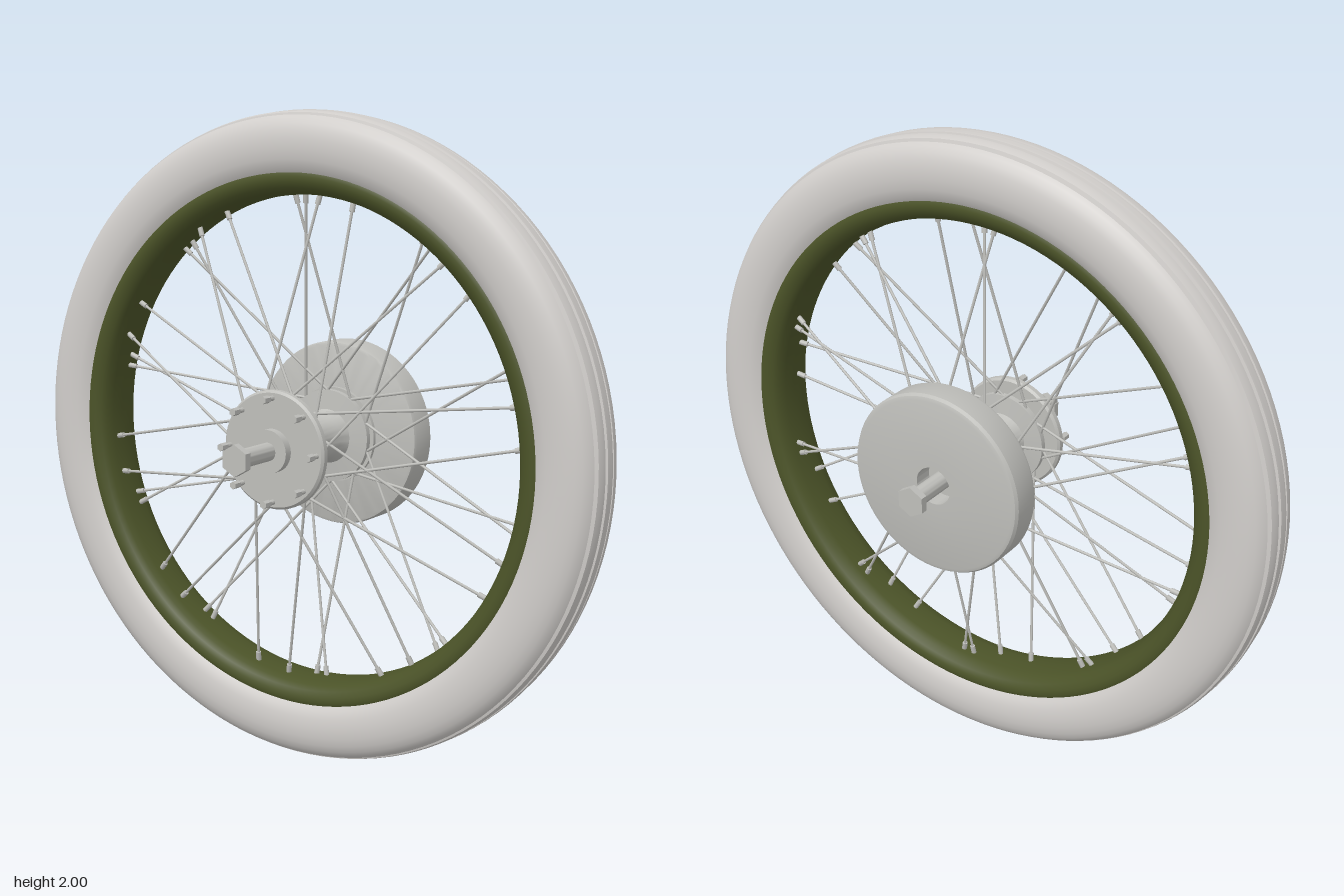
import * as THREE from 'three';
import { toCreasedNormals } from 'three/addons/utils/BufferGeometryUtils.js';

const mat = (name, color, side = THREE.FrontSide) => {
  const m = new THREE.MeshStandardMaterial({ color, side });
  m.name = name;
  return m;
};

// Solid of revolution around the z axis; points are [radius, z], outer side running towards +z
function turned(name, points, material, segments = 64, crease = 0.5) {
  const lathe = new THREE.LatheGeometry(points.map(([r, z]) => new THREE.Vector2(r, z)), segments);
  lathe.rotateX(Math.PI / 2);
  const mesh = new THREE.Mesh(toCreasedNormals(lathe, crease), material);
  mesh.name = name;
  return mesh;
}

// Cylinder along z between two depths
function barZ(name, radius, z0, z1, material, sides = 24, x = 0, y = 0) {
  const geo = new THREE.CylinderGeometry(radius, radius, z1 - z0, sides);
  geo.rotateX(Math.PI / 2);
  const mesh = new THREE.Mesh(toCreasedNormals(geo, 0.6), material);
  mesh.position.set(x, y, (z0 + z1) / 2);
  mesh.name = name;
  return mesh;
}

// Cylinder between two points
function rod(name, a, b, radius, material, sides = 8) {
  const dir = b.clone().sub(a);
  const mesh = new THREE.Mesh(new THREE.CylinderGeometry(radius, radius, dir.length(), sides), material);
  mesh.position.copy(a).add(b).multiplyScalar(0.5);
  mesh.quaternion.setFromUnitVectors(new THREE.Vector3(0, 1, 0), dir.normalize());
  mesh.name = name;
  return mesh;
}

const polar = (r, degrees, z) => {
  const a = THREE.MathUtils.degToRad(degrees);
  return new THREE.Vector3(Math.cos(a) * r, Math.sin(a) * r, z);
};

export function createModel() {
  const rubber = mat('pale rubber', 0xd0cdca);
  const green = mat('olive paint', 0x4b5328, THREE.DoubleSide);
  const metal = mat('grey metal', 0xbebeba);

  const wheel = new THREE.Group();
  wheel.name = 'wheel';
  wheel.position.y = 1;

  // Tyre: half profile from bead to tread centre with two grooves, then mirrored
  const half = [
    [0.812, 0.084], [0.83, 0.097], [0.855, 0.105], [0.885, 0.109], [0.915, 0.108], [0.94, 0.103],
    [0.96, 0.095], [0.975, 0.084], [0.984, 0.072], [0.978, 0.068], [0.978, 0.064], [0.991, 0.06],
    [0.996, 0.045], [0.997, 0.028], [0.986, 0.024], [0.986, 0.02], [0.999, 0.016], [1, 0.006],
  ];
  const tyre = [...half.map(([r, z]) => [r, -z]), ...[...half].reverse(), half[0].map((v, i) => (i ? -v : v))];
  wheel.add(turned('tyre', tyre, rubber, 128, 0.6));

  // Rim: dished band with flared edges
  const rimHalf = [[0.817, 0.088], [0.806, 0.093], [0.79, 0.09], [0.772, 0.082], [0.759, 0.066], [0.753, 0.04]];
  const rim = [...rimHalf, [0.75, 0], ...[...rimHalf].reverse().map(([r, z]) => [r, -z])];
  wheel.add(turned('rim', rim, green, 128, 0.9));

  // Hub barrel with a spoke flange at each end
  wheel.add(turned('hub', [
    [0, -0.158], [0.15, -0.158], [0.15, -0.143], [0.135, -0.143], [0.135, -0.13], [0.145, -0.13],
    [0.145, -0.112], [0.085, -0.105], [0.07, -0.075], [0.065, 0], [0.07, 0.075], [0.085, 0.105],
    [0.145, 0.112], [0.145, 0.13], [0.125, 0.135], [0.125, 0.157], [0, 0.157],
  ], metal));

  // Brake drum at the back, with a recess around the axle
  wheel.add(turned('brakeDrum', [
    [0, -0.2], [0.06, -0.2], [0.06, -0.262], [0.275, -0.262], [0.286, -0.258], [0.292, -0.248],
    [0.292, -0.168], [0.288, -0.158], [0.28, -0.155], [0, -0.155],
  ], metal, 96));

  // Front plate and its ring of bolts
  wheel.add(turned('frontPlate', [
    [0, 0.155], [0.174, 0.155], [0.181, 0.162], [0.181, 0.178], [0.174, 0.185], [0, 0.185],
  ], metal));
  for (let i = 0; i < 8; i++) {
    const p = polar(0.158, i * 45, 0);
    wheel.add(barZ('plateBolt', 0.008, 0.18, 0.236, metal, 12, p.x, p.y));
    wheel.add(barZ('plateBoltNut', 0.012, 0.208, 0.236, metal, 6, p.x, p.y));
  }
  wheel.add(barZ('frontCollar', 0.066, 0.18, 0.211, metal, 32));

  // Axle with a hexagonal head at each end
  wheel.add(barZ('axle', 0.028, -0.36, 0.36, metal, 32));
  wheel.add(barZ('axleHeadFront', 0.048, 0.354, 0.377, metal, 6));
  wheel.add(barZ('axleHeadBack', 0.048, -0.377, -0.354, metal, 6));

  // Crossed spokes: four sets of ten, each with a nipple at the rim
  const sets = [
    { z: 0.124, start: 4.5, lean: -40 },
    { z: 0.124, start: 13.5, lean: 40 },
    { z: -0.124, start: 22.5, lean: -40 },
    { z: -0.124, start: 19.5, lean: 40 },
  ];
  for (const { z, start, lean } of sets) {
    for (let i = 0; i < 10; i++) {
      const angle = start + i * 36;
      const inner = polar(0.137, angle + lean, z);
      const outer = polar(0.757, angle, Math.sign(z) * 0.02);
      const nippleStart = outer.clone().lerp(inner, 0.05);
      wheel.add(rod('spoke', inner, outer, 0.0045, metal));
      wheel.add(rod('spokeNipple', nippleStart, outer, 0.0085, metal));
    }
  }

  const model = new THREE.Group();
  model.name = 'spokedWheel';
  model.add(wheel);
  return model;
}
